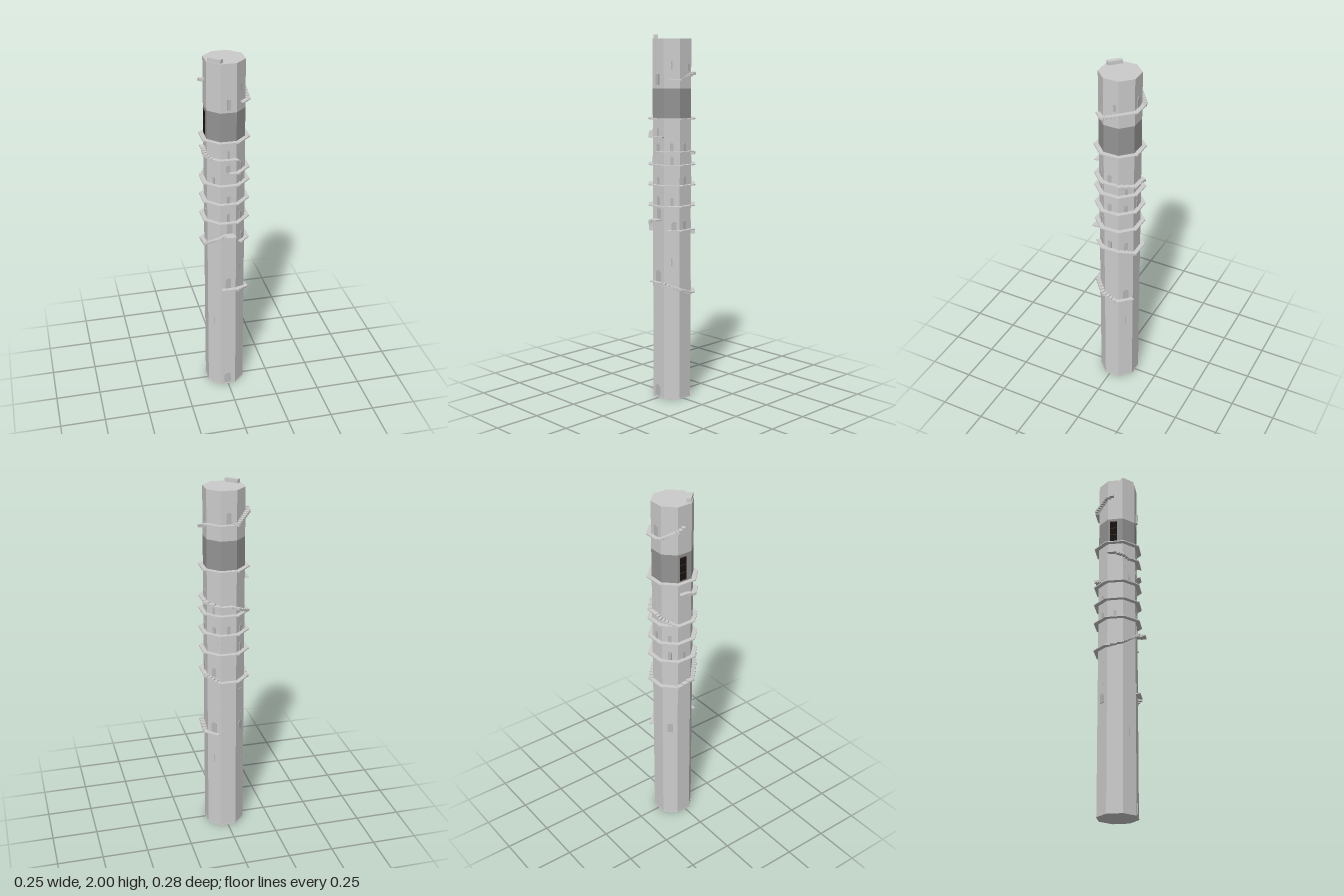
import * as THREE from 'three';
import { mergeGeometries } from 'three/addons/utils/BufferGeometryUtils.js';

const CX = -0.001, CZ = -0.015;      // tower axis
const AP = 0.103, OUT = 0.127;       // wall and walkway apothems
const TAN = Math.tan(Math.PI / 8);

const mat = (name, color) => Object.assign(new THREE.MeshStandardMaterial({ color }), { name });

// Point on the octagon: faces are numbered 0 (front), 1, 2 (+x) ... 7; t = face + offset (-0.5..0.5)
function onWall(t, ap) {
  const k = Math.floor(t + 0.5), a = k * Math.PI / 4, s = (t - k) * 2 * TAN * ap;
  return [CX + Math.sin(a) * ap + Math.cos(a) * s, CZ + Math.cos(a) * ap - Math.sin(a) * s];
}

// Flat slab along one face from t0 to t1
function slab(t0, t1, y, h, out) {
  const e = 1e-6;
  const pts = [onWall(t0 + e, AP - 0.002), onWall(t0 + e, out), onWall(t1 - e, out), onWall(t1 - e, AP - 0.002)];
  const lo = pts.map(p => [p[0], y - h, p[1]]), hi = pts.map(p => [p[0], y, p[1]]);
  const quads = [[hi[0], hi[1], hi[2], hi[3]], [lo[3], lo[2], lo[1], lo[0]]];
  for (let i = 0; i < 4; i++) {
    const j = (i + 1) % 4;
    quads.push([lo[i], lo[j], hi[j], hi[i]]);
  }
  const pos = [];
  for (const [a, b, c, d] of quads) pos.push(...a, ...b, ...c, ...a, ...c, ...d);
  const g = new THREE.BufferGeometry();
  g.setAttribute('position', new THREE.Float32BufferAttribute(pos, 3));
  g.computeVertexNormals();
  return g;
}

// Walkway through [t, y] points; sloping stretches become steps
function walkway(path, h = 0.006, out = OUT) {
  const parts = [];
  for (let i = 0; i < path.length - 1; i++) {
    const [t0, y0] = path[i], [t1, y1] = path[i + 1];
    const n = Math.max(1, Math.round(Math.abs(y1 - y0) / 0.007));
    for (let s = 0; s < n; s++) {
      let a = t0 + (t1 - t0) * s / n;
      const b = t0 + (t1 - t0) * (s + 1) / n;
      const y = y0 + (y1 - y0) * (n === 1 ? 0 : (s + 0.5) / n);
      while (a < b - 1e-4) {                        // cut at tower corners
        const corner = Math.floor(a + 0.5 + 1e-4) + 0.5, end = Math.min(b, corner);
        parts.push(slab(a, end, y, n > 1 ? h + 0.006 : h, out));
        a = end;
      }
    }
  }
  return mergeGeometries(parts);
}

function octagon(ap, y0, y1) {
  const r = ap / Math.cos(Math.PI / 8);
  const g = new THREE.CylinderGeometry(r, r, y1 - y0, 8).rotateY(Math.PI / 8).toNonIndexed();
  g.computeVertexNormals();
  return g.translate(CX, (y0 + y1) / 2, CZ);
}

// Arched plate, base at the origin, facing +z
function arch(w, h, d = 0.004) {
  const s = new THREE.Shape(), r = w / 2;
  s.moveTo(-r, 0);
  s.lineTo(r, 0);
  s.lineTo(r, h - r);
  s.absarc(0, h - r, r, 0, Math.PI, false);
  s.closePath();
  return new THREE.ExtrudeGeometry(s, { depth: d, bevelEnabled: false, curveSegments: 6 });
}

export function createModel() {
  const tower = new THREE.Group();
  tower.name = 'tower';
  const stone = mat('pale stone', 0xcccccc), dark = mat('dark band stone', 0x949494);
  const recess = mat('opening grey', 0xb8b8b8), black = mat('black glass', 0x161412);
  const brown = mat('brown frame', 0x4a2a20);

  const add = (name, geo, m) => {
    const mesh = new THREE.Mesh(geo, m);
    mesh.name = name;
    tower.add(mesh);
    return mesh;
  };
  // Puts a +z facing part on the wall at t, height y
  const mount = (name, geo, m, t, y, lift = -0.001) => {
    const mesh = add(name, geo, m), [x, z] = onWall(t, AP + lift);
    mesh.position.set(x, y, z);
    mesh.rotation.y = Math.floor(t + 0.5) * Math.PI / 4;
  };

  // Shaft, dark band and foot
  add('lowerShaft', octagon(AP, 0, 1.557), stone);
  add('darkBand', octagon(AP, 1.557, 1.718), dark);
  add('upperShaft', octagon(AP, 1.718, 1.98), stone);
  add('foot', octagon(AP + 0.002, 0, 0.005), stone);

  // Block on the roof beside the front left edge
  const block = add('roofBlock', new THREE.BoxGeometry(0.078, 0.03, 0.024), stone);
  block.position.set(-0.062, 1.985, 0.047);
  block.rotation.y = -Math.PI / 4;

  // Full ring walkways
  for (const y of [1.09, 1.203, 1.313, 1.56]) add('ringWalkway', walkway([[-0.5, y], [7.5, y]]), stone);

  // Partial walkways and stairs
  const stairs = {
    lowStair: [[-0.4, 0.667], [0.45, 0.667], [1.5, 0.635], [2.3, 0.605], [3.4, 0.605]],
    middleStair: [[0.75, 0.958], [2.5, 0.958], [3.5, 0.925], [5.4, 0.925], [6.5, 0.945], [7.7, 1.015], [8.3, 1.015]],
    crossingStair: [[0, 1.385], [2.4, 1.385], [3.5, 1.365], [4.2, 1.365], [5.5, 1.313]],
    upperRingStair: [[5.6, 1.495], [6.1, 1.495], [7, 1.463], [8.5, 1.463]],
    topStair: [[0.9, 1.768], [1.5, 1.768], [2.5, 1.805], [4.3, 1.805], [5.5, 1.86], [5.9, 1.877]],
  };
  for (const [name, path] of Object.entries(stairs)) add(name, walkway(path), stone);

  // Front landing
  const landing = add('frontLanding', new THREE.BoxGeometry(0.05, 0.008, 0.03), stone);
  landing.position.set(0.007, 1.013, 0.125);
  for (let i = 0; i < 3; i++) {
    const step = add('landingStep', new THREE.BoxGeometry(0.007, 0.008, 0.022 - i * 0.006), stone);
    step.position.set(-0.021 - i * 0.006, 1.008 - i * 0.005, 0.121 - i * 0.003);
  }

  // Doors: [t, base y, width, height]
  const doors = [
    [-0.04, 0.012, 0.038, 0.064], [0, 0.667, 0.032, 0.064], [3, 0.605, 0.034, 0.062],
    [5, 0.605, 0.032, 0.055], [0.08, 1.017, 0.03, 0.06], [1.15, 0.958, 0.026, 0.045],
    [1.9, 0.958, 0.022, 0.048], [3, 0.95, 0.024, 0.05], [4, 1.807, 0.026, 0.06],
    [2.25, 1.81, 0.016, 0.04],
  ];
  for (const [t, y, w, h] of doors) mount('door', arch(w, h), recess, t, y);

  // Windows above the walkways
  const windows = [
    [0, 1.09, 0.014, 0.05], [0.02, 1.203, 0.018, 0.042], [0, 1.385, 0.02, 0.042], [0, 1.463, 0.014, 0.045],
    [1, 1.09, 0.016, 0.045], [1, 1.313, 0.016, 0.045], [1, 1.385, 0.018, 0.045], [1.9, 1.203, 0.02, 0.045],
    [1.9, 1.385, 0.022, 0.045], [3, 1.313, 0.016, 0.04], [3, 1.203, 0.016, 0.04], [4, 1.203, 0.018, 0.045],
    [5, 1.09, 0.02, 0.05], [5, 1.203, 0.018, 0.04], [7, 1.313, 0.014, 0.04], [6, 1.09, 0.016, 0.045],
  ];
  for (const [t, y, w, h] of windows) mount('archedWindow', arch(w, h), recess, t, y);

  // Narrow slits
  for (const [t, y] of [[1, 0.78], [1, 1.84], [3, 0.44], [7, 0.44]])
    mount('slit', new THREE.BoxGeometry(0.007, 0.045, 0.004), recess, t, y);
  mount('frontBay', new THREE.BoxGeometry(0.018, 0.058, 0.018), recess, 0, 1.765, 0.002);

  // Dark glazed opening in the band on the -x face
  mount('bandWindow', new THREE.BoxGeometry(0.038, 0.13, 0.006), black, 5.88, 1.635);
  for (const dy of [-0.064, -0.022, 0.022, 0.064])
    mount('windowBar', new THREE.BoxGeometry(0.04, 0.004, 0.008), brown, 5.88, 1.635 + dy);

  // Scattered raised bricks
  let seed = 7;
  const rnd = () => (seed = (seed * 16807) % 2147483647) / 2147483647;
  for (let i = 0; i < 40; i++) {
    const face = Math.floor(rnd() * 4) * 2 + 1, t = face + (rnd() - 0.5) * 0.7;
    const y = i < 14 ? 0.4 + rnd() * 0.5 : 1.1 + rnd() * 0.38;
    mount('brick', new THREE.BoxGeometry(0.012, 0.005, 0.003), stone, t, y);
  }
  return tower;
}
